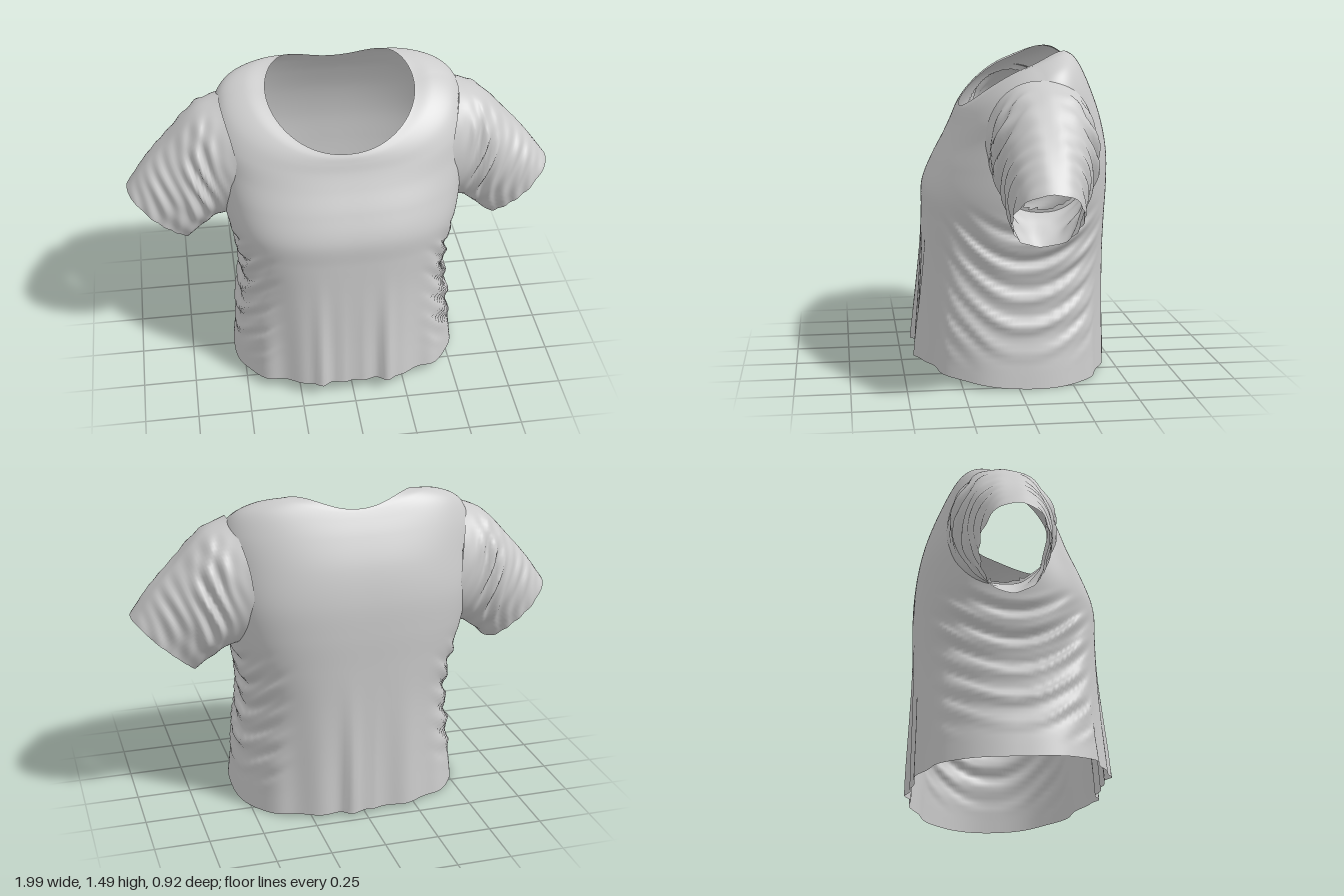
import * as THREE from 'three';

const cloth = new THREE.MeshStandardMaterial({ color: 0xcccccc, side: THREE.DoubleSide });
const V = (x, y, z) => new THREE.Vector3(x, y, z);
const bell = (d, w) => Math.exp(-(d * d) / (w * w));
const spow = (v, p) => Math.sign(v) * Math.abs(v) ** p;
const ramp = (v, a, b) => THREE.MathUtils.smoothstep(v, a, b);

// Smooth surface through closed rings: point(ring, angle) places one point,
// fold(p) moves it, cut(p) tells which faces to leave out.
function loft(rings, point, segs, steps, fold, cut = () => false, flip = false) {
  const pos = [], index = [], pts = [];
  const lines = [];
  for (let j = 0; j < segs; j++) {
    const a = (j / segs) * Math.PI * 2;
    lines.push(new THREE.CatmullRomCurve3(rings.map((r, k) => point(r, a, k))));
  }
  for (let i = 0; i <= steps; i++) {
    for (let j = 0; j < segs; j++) {
      const p = fold(lines[j].getPoint(i / steps));
      pts.push(p);
      pos.push(p.x, p.y, p.z);
    }
  }
  for (let i = 0; i < steps; i++) {
    for (let j = 0; j < segs; j++) {
      const a = i * segs + j, b = i * segs + (j + 1) % segs;
      const c = a + segs, d = b + segs;
      for (const [u, v, w] of [[a, b, d], [a, d, c]]) {
        const mid = pts[u].clone().add(pts[v]).add(pts[w]).divideScalar(3);
        if (!cut(mid)) index.push(u, flip ? w : v, flip ? v : w);
      }
    }
  }
  const g = new THREE.BufferGeometry();
  g.setAttribute('position', new THREE.Float32BufferAttribute(pos, 3));
  g.setIndex(index);
  g.computeVertexNormals();
  return g;
}

// Body rings, hem to neckline:
// side x, y, z | front y, z | back y, z | squareness | shoulder lift
const body = [
  [0.545, 0.01, 0.0, 0.075, 0.425, 0.02, -0.445, 2.5, 0],
  [0.515, 0.28, 0.0, 0.3, 0.41, 0.28, -0.445, 2.5, 0],
  [0.49, 0.52, -0.02, 0.56, 0.40, 0.54, -0.448, 2.6, 0],
  [0.515, 0.7, -0.05, 0.74, 0.395, 0.74, -0.452, 2.7, 0],
  [0.55, 0.85, -0.08, 0.86, 0.39, 0.9, -0.456, 2.7, 0],
  [0.57, 1.0, -0.1, 0.98, 0.34, 1.05, -0.45, 2.7, 0],
  [0.58, 1.15, -0.1, 1.08, 0.285, 1.2, -0.42, 2.6, 0],
  [0.58, 1.3, -0.1, 1.15, 0.25, 1.33, -0.37, 2.5, 0.01],
  [0.53, 1.395, -0.1, 1.19, 0.235, 1.4, -0.335, 2.4, 0.02],
  [0.43, 1.435, -0.08, 1.215, 0.225, 1.43, -0.318, 2.3, 0.03],
  [0.338, 1.425, -0.05, 1.232, 0.215, 1.442, -0.31, 2.15, 0.04],
];

function bodyPoint([sx, sy, sz, fy, fz, by, bz, n, lift], a) {
  const c = spow(Math.cos(a), 2 / n), s = spow(Math.sin(a), 2 / n);
  const y = sy + ((fy - by) / 2) * c + ((fy + by) / 2 - sy) * c * c;
  const up = c < 0 ? lift * Math.sin(2 * a) ** 2 : 0;
  return V(sx * s, y + up, c > 0 ? sz + (fz - sz) * c : sz + (sz - bz) * c);
}

// Hanging folds: pleats in front, a crease at the back, swags on the flanks
function bodyFold(p) {
  const { x, y, z } = p, low = 1 - ramp(y, 0.05, 0.75);
  const front = ramp(z, 0.1, 0.3), back = ramp(-z, 0.2, 0.4);
  p.z += front * low * (0.045 * bell(x + 0.15, 0.035) + 0.045 * bell(x - 0.16, 0.035)
    + 0.012 * Math.sin(Math.abs(x) * 34));
  p.z -= back * low * (0.03 * bell(x - 0.07, 0.03) + 0.01 * Math.cos(x * 30) - 0.012 * bell(x, 0.015));
  const flank = ramp(Math.abs(x), 0.3, 0.45) * ramp(y, 0.08, 0.3) * (1 - ramp(y, 0.65, 0.85));
  const swag = y - 1.8 * (z + 0.08) ** 2;
  p.x += Math.sign(x) * flank * (0.011 * Math.sin(swag * 52 + Math.sin(z * 9)) + 0.005 * Math.sin(swag * 97 + z * 14));
  return p;
}

// Opening in the body where a sleeve joins
const armhole = (p) => Math.abs(p.x) > 0.4
  && ((p.y - 1.09) / 0.265) ** 2 + ((p.z + 0.095) / 0.23) ** 2 < 1;

// Sleeve rings, armhole to cuff: top x, y | bottom x, y | front z | back z | inward bow
const sleeve = [
  [0.545, 1.385, 0.52, 0.815, 0.15, -0.34, 0.05],
  [0.66, 1.335, 0.57, 0.8, 0.125, -0.32, 0.01],
  [0.8, 1.195, 0.62, 0.765, 0.1, -0.285, 0],
  [0.91, 1.075, 0.665, 0.73, 0.09, -0.25, 0],
  [0.995, 0.96, 0.705, 0.69, 0.075, -0.225, 0],
];

const sleevePoint = (side) => ([tx, ty, bx, by, fz, bz, bow], a) => {
  const c = Math.cos(a), s = Math.sin(a);
  return V(side * ((tx + bx) / 2 + ((tx - bx) / 2) * c - bow * s * s),
    (ty + by) / 2 + ((ty - by) / 2) * c,
    (fz + bz) / 2 + ((fz - bz) / 2) * spow(s, 0.85));
};

// Bunched creases, strongest beside the armpit
function sleeveFold(p) {
  const x = Math.abs(p.x), { y, z } = p;
  const face = Math.min(1, Math.abs(z + 0.09) / 0.12) * Math.sign(z + 0.09);
  const bunch = bell(x - 0.64, 0.08) * bell(y - 1.06, 0.2);
  const run = 0.35 * ramp(x, 0.56, 0.66);
  p.z += face * (bunch + run) * (0.014 * Math.sin(x * 95 + 5 * Math.sin(y * 9)) + 0.008 * Math.sin(x * 60 - y * 38));
  p.y += 0.006 * run * Math.sin(z * 60 + x * 12);
  return p;
}

export function createModel() {
  const shirt = new THREE.Group();
  shirt.name = 'shirt';

  const torso = new THREE.Mesh(loft(body, bodyPoint, 192, 110, bodyFold, armhole), cloth);
  torso.name = 'torso';
  shirt.add(torso);

  for (const side of [1, -1]) {
    const arm = new THREE.Mesh(
      loft(sleeve, sleevePoint(side), 72, 48, sleeveFold, undefined, side < 0), cloth);
    arm.name = side > 0 ? 'leftSleeve' : 'rightSleeve';
    shirt.add(arm);
  }
  return shirt;
}
